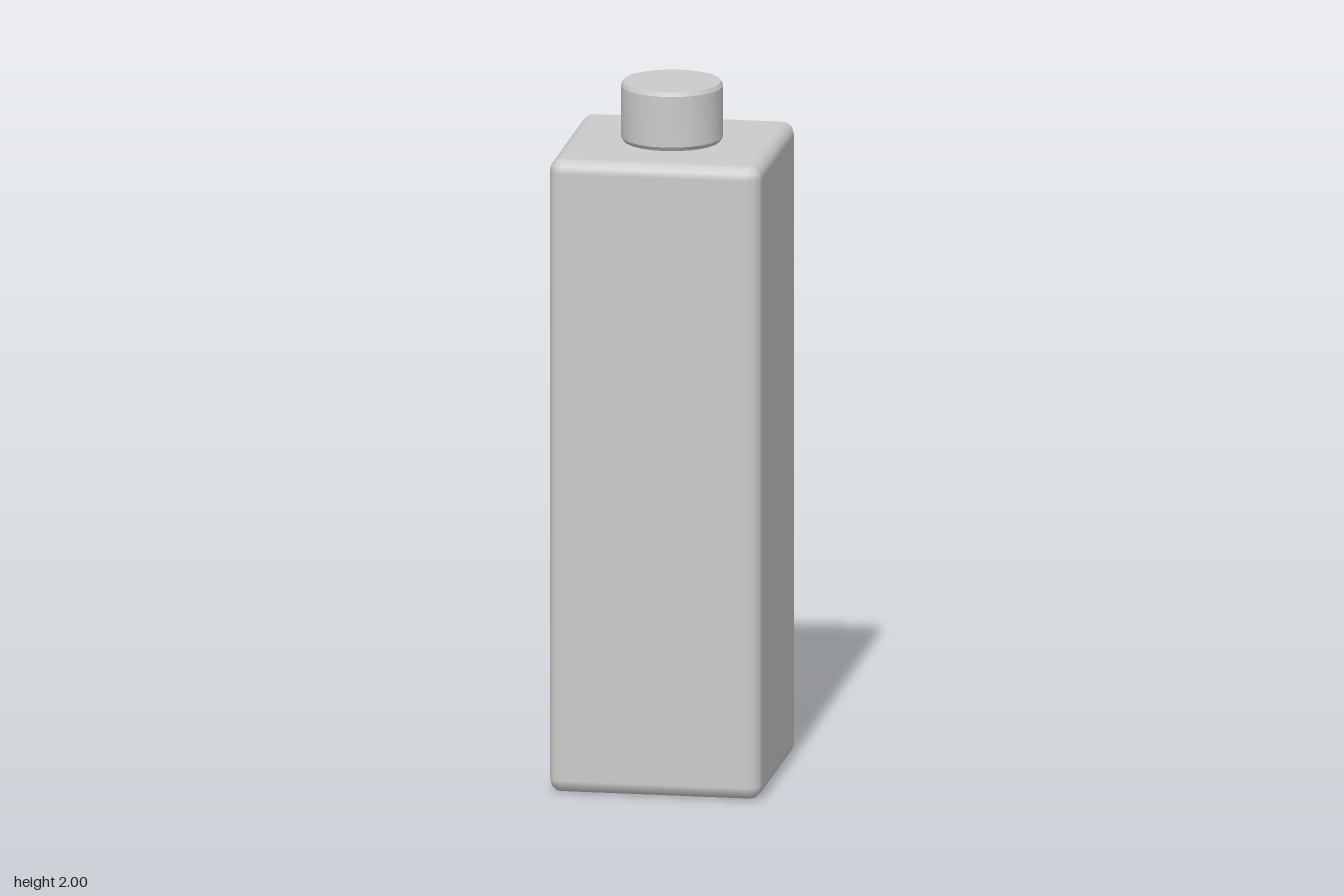
import * as THREE from 'three';
import { toCreasedNormals } from 'three/addons/utils/BufferGeometryUtils.js';

const HALF = 0.303, RADIUS = 0.038, CORE = HALF - RADIUS;
const BODY_TOP = 1.83, ARC = 3;
const RECESS_HALF = 0.25, RECESS_DEPTH = 0.18;

// Rounded square rings stacked up the body, with exact smooth normals
function roundedShell() {
  const pos = [], nor = [], idx = [];
  const around = 4 * (ARC + 1), rings = 2 * (ARC + 1);
  for (let k = 0; k < rings; k++) {
    const upper = k > ARC;
    const a = ((upper ? k - 1 : k) / ARC - 1) * Math.PI / 2;
    const y = (upper ? BODY_TOP - RADIUS : RADIUS) + RADIUS * Math.sin(a);
    for (let j = 0; j < around; j++) {
      const corner = Math.floor(j / (ARC + 1));
      const t = (corner + (j % (ARC + 1)) / ARC) * Math.PI / 2;
      const mid = (corner + 0.5) * Math.PI / 2;
      const nx = Math.cos(a) * Math.cos(t), nz = Math.cos(a) * Math.sin(t);
      pos.push(CORE * Math.sign(Math.cos(mid)) + RADIUS * nx, y, CORE * Math.sign(Math.sin(mid)) + RADIUS * nz);
      nor.push(nx, Math.sin(a), nz);
    }
  }
  for (let k = 0; k < rings - 1; k++) {
    for (let j = 0; j < around; j++) {
      const a = k * around + j, b = k * around + (j + 1) % around;
      const c = a + around, d = b + around;
      const flatSide = j % (ARC + 1) === ARC;
      // The end rings have sharp corners, so skip their empty triangles
      if (k > 0 || flatSide) idx.push(a, c, b);
      if (k < rings - 2 || flatSide) idx.push(b, c, d);
    }
  }
  const g = new THREE.BufferGeometry();
  g.setAttribute('position', new THREE.Float32BufferAttribute(pos, 3));
  g.setAttribute('normal', new THREE.Float32BufferAttribute(nor, 3));
  g.setIndex(idx);
  return g;
}

// Square outline centred on the origin
function square(h, Type) {
  return new Type([[-h, -h], [h, -h], [h, h], [-h, h]].map(([x, y]) => new THREE.Vector2(x, y)));
}

export function createModel() {
  const model = new THREE.Group();
  model.name = 'bottle';
  const grey = new THREE.MeshStandardMaterial({ color: 0xcccccc });
  const inside = new THREE.MeshStandardMaterial({ color: 0xcccccc, side: THREE.BackSide });
  const add = (name, geometry, material = grey) => {
    const mesh = new THREE.Mesh(geometry, material);
    mesh.name = name;
    model.add(mesh);
  };

  // Body
  add('body', roundedShell());
  add('shoulder', new THREE.PlaneGeometry(2 * CORE, 2 * CORE).rotateX(-Math.PI / 2).translate(0, BODY_TOP, 0));

  // Flat rim around the hollow in the base
  const rim = square(CORE, THREE.Shape);
  rim.holes.push(square(RECESS_HALF, THREE.Path));
  add('baseRim', new THREE.ShapeGeometry(rim).rotateX(Math.PI / 2));

  // Hollow in the base: a box seen from inside, without its bottom face
  const recess = new THREE.BoxGeometry(2 * RECESS_HALF, RECESS_DEPTH, 2 * RECESS_HALF);
  recess.translate(0, RECESS_DEPTH / 2, 0);
  recess.setIndex(Array.from(recess.index.array).filter((_, i) => i < 18 || i >= 24));
  add('baseRecess', recess, inside);

  // Cap with small bevels at both ends
  const profile = [[0, 1.83], [0.136, 1.83], [0.144, 1.842], [0.144, 1.988], [0.138, 2], [0, 2]]
    .map(([r, y]) => new THREE.Vector2(r, y));
  add('cap', toCreasedNormals(new THREE.LatheGeometry(profile, 24), 0.45));

  return model;
}
